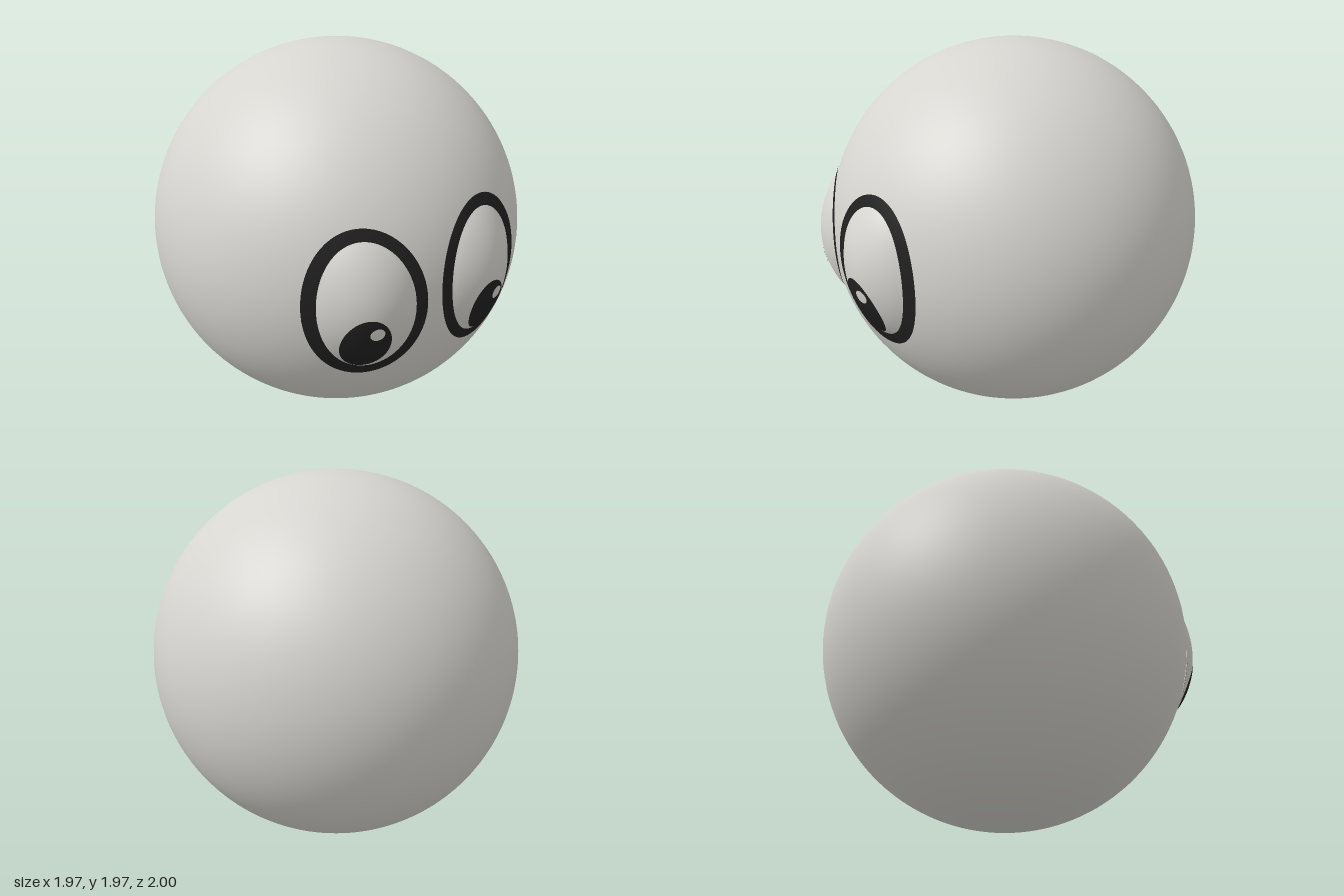
import * as THREE from 'three';

const R = 0.987, CZ = -0.013, TILT = 0.07;

const white = new THREE.MeshStandardMaterial({ color: 0xd6d5d0 });
white.name = 'warm white';
const black = new THREE.MeshStandardMaterial({ color: 0x202020 });
black.name = 'soft black';

// point of a tilted ellipse, relative to its centre
function ellipsePoint(a, b, t) {
  const x = a * Math.cos(t), y = b * Math.sin(t);
  return [x * Math.cos(TILT) - y * Math.sin(TILT), x * Math.sin(TILT) + y * Math.cos(TILT)];
}

// front surface of the ball plus the shallow bulge of an eye
function surfaceZ(x, y, eye) {
  const ball = CZ + Math.sqrt(R * R - x * x - (y - R) ** 2);
  const dx = x - eye.x, dy = y - eye.y;
  const u = (dx * Math.cos(TILT) + dy * Math.sin(TILT)) / 0.214;
  const v = (dy * Math.cos(TILT) - dx * Math.sin(TILT)) / 0.323;
  const fall = Math.max(0, 1 - u * u - v * v);
  return ball + 0.064 * Math.pow(fall, 0.8) * (1 + 0.25 * u * Math.sign(eye.x));
}

// elliptical patch (or ring, with an inner size) laid over the eye surface
function patch(name, material, eye, [cx, cy], outer, inner, lift, rings) {
  const N = 72, pos = [], index = [];
  for (let j = 0; j <= rings; j++) {
    const k = j / rings;
    const a = inner[0] + (outer[0] - inner[0]) * k;
    const b = inner[1] + (outer[1] - inner[1]) * k;
    for (let i = 0; i < N; i++) {
      const [px, py] = ellipsePoint(a, b, (i / N) * Math.PI * 2);
      const x = cx + px, y = cy + py;
      pos.push(x, y, surfaceZ(x, y, eye) + lift);
      if (j < rings) {
        const p = j * N + i, q = j * N + (i + 1) % N;
        index.push(p, p + N, q + N, p, q + N, q);
      }
    }
  }
  const geo = new THREE.BufferGeometry();
  geo.setAttribute('position', new THREE.Float32BufferAttribute(pos, 3));
  geo.setIndex(index);
  geo.computeVertexNormals();
  const mesh = new THREE.Mesh(geo, material);
  mesh.name = name;
  return mesh;
}

export function createModel() {
  const model = new THREE.Group();
  model.name = 'ballWithEyes';

  const ball = new THREE.Mesh(new THREE.SphereGeometry(R, 96, 64), white);
  ball.name = 'ball';
  ball.position.set(0, R, CZ);
  model.add(ball);

  const eyes = [
    { name: 'leftEye', x: 0.309, y: 1.01, pupil: [0.314, 0.85], glint: [0.353, 0.923] },
    { name: 'rightEye', x: -0.309, y: 0.966, pupil: [-0.33, 0.806], glint: [-0.3, 0.88] },
  ];
  const point = [0.0005, 0.0005];
  for (const eye of eyes) {
    const group = new THREE.Group();
    group.name = eye.name;
    const centre = [eye.x, eye.y];
    group.add(
      patch('eyeWhite', white, eye, centre, [0.218, 0.327], point, 0.002, 20),
      patch('eyeOutline', black, eye, centre, [0.272, 0.378], [0.214, 0.323], 0.006, 4),
      patch('pupil', black, eye, eye.pupil, [0.108, 0.151], point, 0.006, 12),
      patch('glint', white, eye, eye.glint, [0.033, 0.033], point, 0.01, 4),
    );
    model.add(group);
  }
  return model;
}
